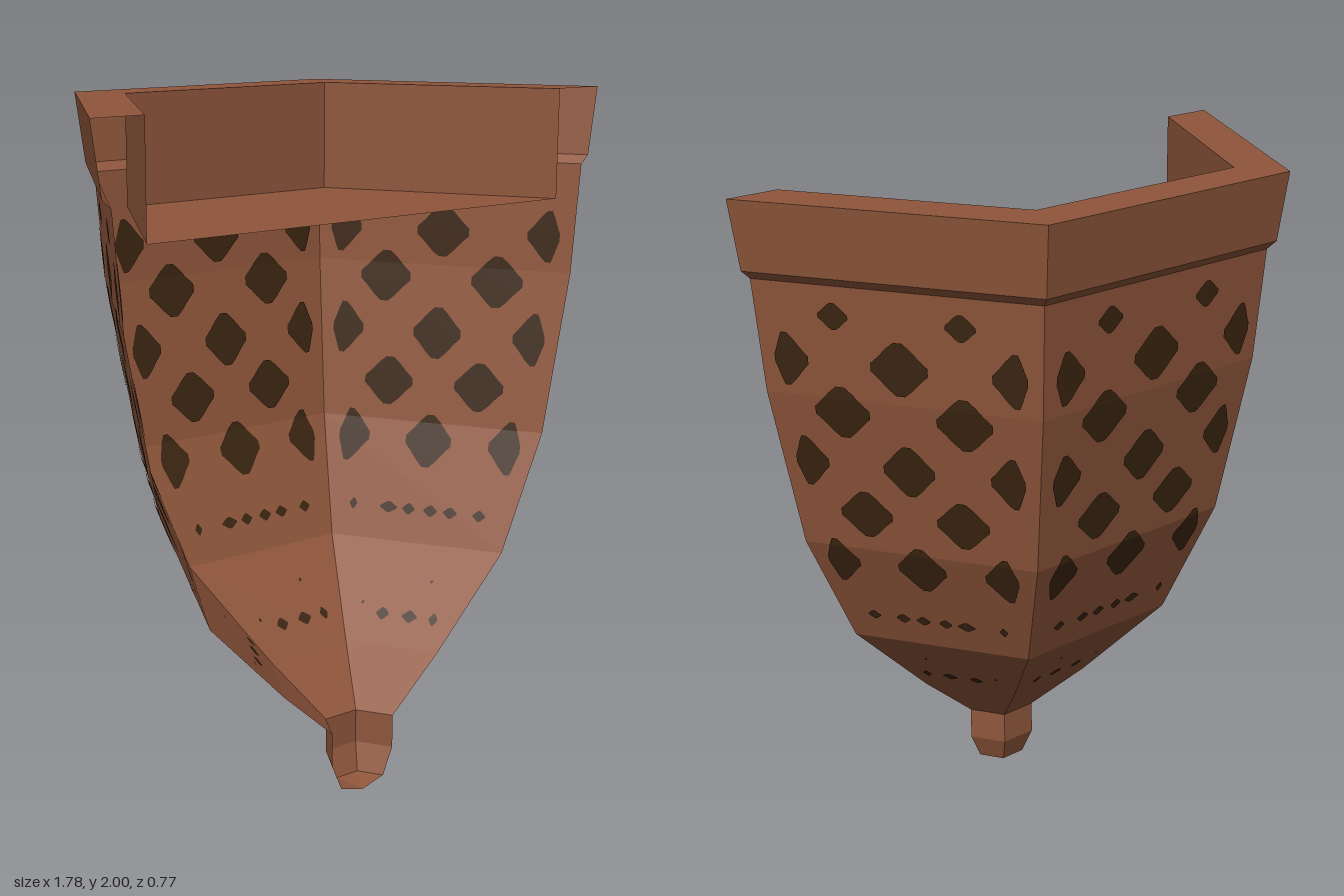
import * as THREE from 'three';

const AXIS_Z = 0.385; // the open, flat side lies in this plane
const COS30 = Math.cos(Math.PI / 6);

// body profile, bottom to top: [corner radius, height]
const BODY = [[0.115, 0.205], [0.29, 0.36], [0.547, 0.62], [0.705, 0.97], [0.803, 1.45], [0.833, 1.775]];

function makeGeometry(points) {
  const g = new THREE.BufferGeometry();
  g.setFromPoints(points);
  g.computeVertexNormals(); // no shared corners, so every face is flat
  return g;
}

// Half-hexagon shell lofted through [radius, height] rings
function halfHexShell(profile) {
  const corner = ([r, y], k) => {
    const a = k * Math.PI / 3;
    return new THREE.Vector3(r * Math.cos(a), y, AXIS_Z - r * Math.sin(a));
  };
  const pts = [];
  for (let i = 0; i < profile.length - 1; i++) {
    for (let k = 0; k < 3; k++) {
      const a = corner(profile[i], k), b = corner(profile[i], k + 1);
      const c = corner(profile[i + 1], k + 1), d = corner(profile[i + 1], k);
      pts.push(a, b, c, a, c, d);
    }
  }
  return makeGeometry(pts);
}

function bodyRadius(y) {
  let i = 0;
  while (i < BODY.length - 2 && y > BODY[i + 1][1]) i++;
  const [r0, y0] = BODY[i], [r1, y1] = BODY[i + 1];
  return r0 + (r1 - r0) * (y - y0) / (y1 - y0);
}

// Point on side panel k, u across the panel, lifted off the surface
function panelPoint(k, u, y, lift) {
  const m = (k + 0.5) * Math.PI / 3, a = bodyRadius(y) * COS30 + lift;
  return new THREE.Vector3(
    a * Math.cos(m) + u * Math.sin(m), y,
    AXIS_Z - a * Math.sin(m) + u * Math.cos(m));
}

// Rounded diamond outline: [height, width] as fractions of the half sizes
const DIAMOND = [[-1, 0.15], [-0.75, 0.42], [-0.4, 0.72], [-0.15, 0.97], [0.15, 0.97], [0.4, 0.72], [0.75, 0.42], [1, 0.15]];

function diamondWidth(t) {
  let i = 0;
  while (i < DIAMOND.length - 2 && t > DIAMOND[i + 1][0]) i++;
  const [t0, w0] = DIAMOND[i], [t1, w1] = DIAMOND[i + 1];
  return w0 + (w1 - w0) * (t - t0) / (t1 - t0);
}

// Dark patch that follows the bends of the panel
function addHole(pts, k, lift, [u, y, wMinus, wPlus, h]) {
  const rows = DIAMOND.map(([t]) => t);
  for (const [, bend] of BODY) {
    const t = (bend - y) / h;
    if (Math.abs(t) < 1) rows.push(t);
  }
  rows.sort((a, b) => a - b);
  const edge = (t, w) => panelPoint(k, u + w * diamondWidth(t), y + h * t, lift);
  for (let i = 0; i < rows.length - 1; i++) {
    const a = edge(rows[i], wPlus), b = edge(rows[i], -wMinus);
    const c = edge(rows[i + 1], -wMinus), d = edge(rows[i + 1], wPlus);
    pts.push(a, b, c, a, c, d);
  }
}

function holeList() {
  const holes = [];
  // rows of three: one centre hole and two cropped ones near the corners
  for (const [y, u, w, h] of [[1.555, 0.335, 0.085, 0.077], [1.245, 0.31, 0.078, 0.078], [0.918, 0.262, 0.075, 0.077]]) {
    holes.push([0, y, w, w, h], [u, y, 0.072, 0.03, h], [-u, y, 0.03, 0.072, h]);
  }
  // rows of two
  for (const [y, u, w, h] of [[1.69, 0.182, 0.045, 0.038], [1.41, 0.178, 0.083, 0.077], [1.09, 0.145, 0.08, 0.073]]) {
    for (const s of [-1, 1]) holes.push([s * u, y, w, w, h]);
  }
  // small lower dots
  for (const [u, w] of [[-0.215, 0.012], [-0.1, 0.028], [-0.035, 0.02], [0.035, 0.022], [0.098, 0.022], [0.19, 0.02]]) {
    holes.push([u, 0.717, w, w, 0.016]);
  }
  for (const [u, w] of [[-0.05, 0.02], [0.035, 0.024], [0.11, 0.014]]) holes.push([u, 0.438, w, w, 0.015]);
  holes.push([0.08, 0.53, 0.005, 0.005, 0.005], [-0.12, 0.46, 0.005, 0.005, 0.005]);
  return holes;
}

export function createModel() {
  const terracotta = new THREE.MeshStandardMaterial({ color: 0x8f563b, side: THREE.DoubleSide });
  terracotta.name = 'terracotta';
  const hollow = new THREE.MeshStandardMaterial({ color: 0x3b2511, side: THREE.DoubleSide });
  hollow.name = 'dark hollow';

  const model = new THREE.Group();
  model.name = 'wallPlanter';
  const add = (name, geometry, material) => {
    const mesh = new THREE.Mesh(geometry, material);
    mesh.name = name;
    model.add(mesh);
  };

  // open-fronted basket
  add('basket', halfHexShell(BODY), terracotta);

  // knob under the basket
  add('finial', halfHexShell([[0.001, 0.003], [0.08, 0.025], [0.115, 0.105], [0.115, 0.205]]), terracotta);

  // lip, top edge, inner wall and tray floor
  add('rimAndTray', halfHexShell([[0.833, 1.775], [0.86, 1.8], [0.89, 2], [0.73, 2], [0.73, 1.68], [0.001, 1.68]]), terracotta);

  // dark holes on the outside and inside of each panel
  const holes = holeList();
  for (const [name, lift] of [['outerHoles', 0.004], ['innerHoles', -0.004]]) {
    const pts = [];
    for (let k = 0; k < 3; k++) for (const hole of holes) addHole(pts, k, lift, hole);
    add(name, makeGeometry(pts), hollow);
  }
  return model;
}
